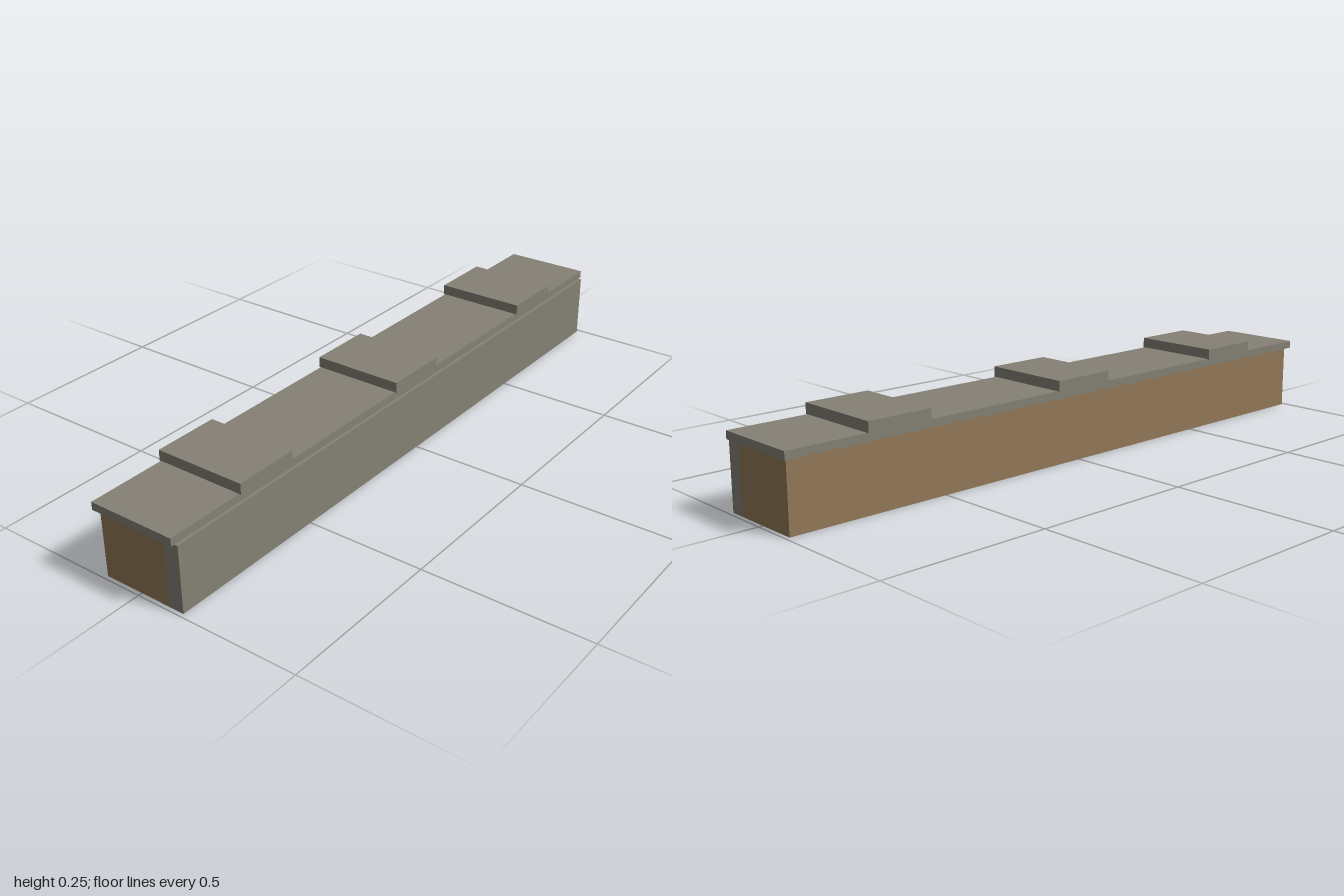
import * as THREE from 'three';

export function createModel() {
  const model = new THREE.Group();
  model.name = 'wallSegment';

  const stone = new THREE.MeshStandardMaterial({ color: 0x858175 });
  stone.name = 'greyStone';
  const earth = new THREE.MeshStandardMaterial({ color: 0x937a59, side: THREE.DoubleSide });
  earth.name = 'brownEarth';

  // Box given by its lower and upper corners
  function block(name, [x0, y0, z0], [x1, y1, z1]) {
    const mesh = new THREE.Mesh(new THREE.BoxGeometry(x1 - x0, y1 - y0, z1 - z0), stone);
    mesh.position.set((x0 + x1) / 2, (y0 + y1) / 2, (z0 + z1) / 2);
    mesh.name = name;
    model.add(mesh);
  }

  // Upright single-sheet panel, turned about y
  function panel(name, width, x, z, turn) {
    const mesh = new THREE.Mesh(new THREE.PlaneGeometry(width, 0.2), earth);
    mesh.position.set(x, 0.1, z);
    mesh.rotation.y = turn;
    mesh.name = name;
    model.add(mesh);
  }

  const end = 0.988, inner = 0.095, back = -0.12;

  // Solid front slab
  block('frontSlab', [-end, 0, inner], [end, 0.198, 0.141]);

  // Thin back and end walls, open underneath
  panel('backWall', end * 2, 0, back, Math.PI);
  for (const side of [-1, 1]) {
    panel(side > 0 ? 'leftEndWall' : 'rightEndWall', inner - back, side * end, (inner + back) / 2, side * Math.PI / 2);
  }

  // Overhanging cap with three raised blocks
  block('cap', [-1, 0.199, -0.135], [1, 0.222, 0.132]);
  for (const x of [-0.66, 0, 0.66]) {
    block('capBlock', [x - 0.1, 0.221, -0.14], [x + 0.1, 0.253, 0.138]);
  }

  return model;
}
